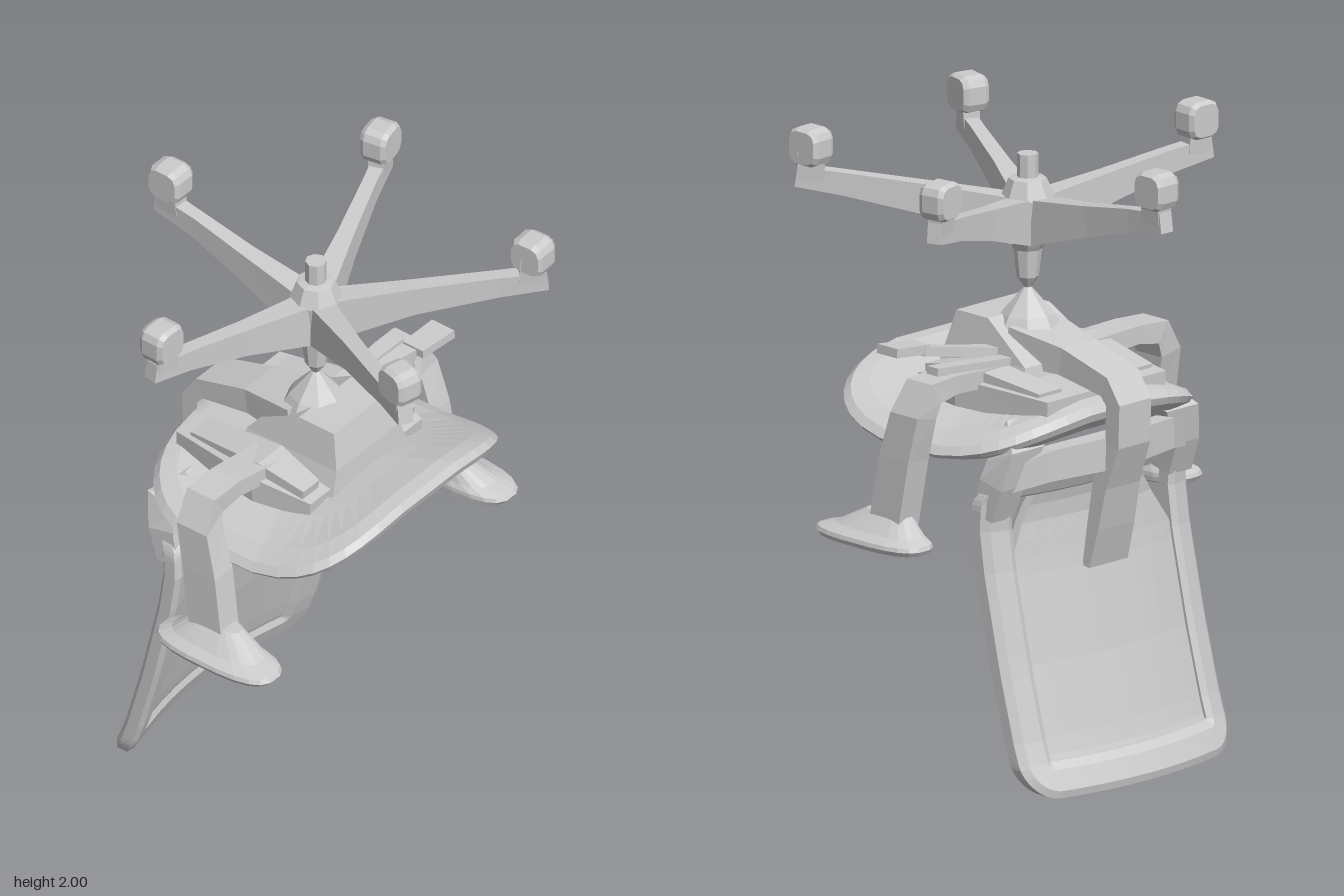
import * as THREE from 'three';

const V = (x, y, z) => new THREE.Vector3(x, y, z);

// Skin a list of equal-length rings (counter-clockwise about the direction of travel)
function loft(rings, closed = false) {
  const pos = [];
  const tri = (...p) => p.forEach(v => pos.push(v.x, v.y, v.z));
  const n = rings[0].length;
  for (let i = 0; i < rings.length - (closed ? 0 : 1); i++) {
    const a = rings[i], b = rings[(i + 1) % rings.length];
    for (let j = 0; j < n; j++) {
      const k = (j + 1) % n;
      tri(a[j], a[k], b[k]);
      tri(a[j], b[k], b[j]);
    }
  }
  if (!closed) {
    const a = rings[0], b = rings[rings.length - 1];
    for (let j = 1; j < n - 1; j++) {
      tri(a[0], a[j + 1], a[j]);
      tri(b[0], b[j], b[j + 1]);
    }
  }
  const g = new THREE.BufferGeometry();
  g.setAttribute('position', new THREE.Float32BufferAttribute(pos, 3));
  g.computeVertexNormals();
  return g;
}

// Rectangular bar through stations [x, y, z, width along side, height]
function strut(stations, side) {
  const p = stations.map(s => V(s[0], s[1], s[2]));
  return loft(p.map((c, i) => {
    const t = p[Math.min(i + 1, p.length - 1)].clone().sub(p[Math.max(i - 1, 0)]);
    const nrm = t.cross(side).normalize();
    const [, , , w, h] = stations[i];
    return [[1, -1], [1, 1], [-1, 1], [-1, -1]].map(([a, b]) =>
      c.clone().addScaledVector(side, a * w / 2).addScaledVector(nrm, b * h / 2));
  }));
}

// Superellipse points, counter-clockwise about +y
function oval(n, rx, rz, e) {
  const f = v => Math.sign(v) * Math.abs(v) ** (2 / e);
  return Array.from({ length: n }, (_, i) => {
    const a = (i + 0.5) / n * Math.PI * 2;
    return [rx * f(Math.sin(a)), rz * f(Math.cos(a))];
  });
}

function table(rows, y) {
  let i = 0;
  while (i < rows.length - 2 && y > rows[i + 1][0]) i++;
  const [a, b] = [rows[i], rows[i + 1]];
  return a[1] + (b[1] - a[1]) * (y - a[0]) / (b[0] - a[0]);
}

// Backrest curvature: leaning profile plus wrap at the sides
const lean = [[0, -0.52], [0.14, -0.46], [0.4, -0.388], [0.7, -0.32], [0.85, -0.298], [0.93, -0.305], [1, -0.34]];
const bend = (x, y, d) => V(x, y, table(lean, y) + 0.075 * (x / 0.45) ** 2 + d);

export function createModel() {
  const root = new THREE.Group();
  const mat = new THREE.MeshStandardMaterial({ color: 0xcccccc, flatShading: true });
  const add = (name, geo, parent = root) => {
    const m = new THREE.Mesh(geo, mat);
    m.name = name;
    parent.add(m);
    return m;
  };
  const X = V(1, 0, 0), Y = V(0, 1, 0), Z = V(0, 0, 1);

  // Seat cushion: dished pad with rolled front and drooping sides
  const seatRings = [[0.02, -1], [0.35, -1], [0.7, -0.95], [0.9, -0.75], [0.98, -0.3], [1, 0.1], [0.96, 0.6], [0.85, 0.9], [0.6, 1], [0.3, 1], [0.02, 1]];
  add('seat', loft(seatRings.map(([s, t]) => oval(36, 0.508 * s, 0.44 * s, 3.8).map(([x, z0]) => {
    const z = z0 + 0.025;
    x *= z < 0 ? 1 - 0.7 * z * z : 1;
    const q = x / 0.5;
    const y = 1.14 + (z > 0 ? 0.1 * (z / 0.46) ** 2 : 0.045 * (z / 0.42) ** 2) - 0.078 * q * q;
    return V(x, y + t * (0.06 - 0.022 * q * q), z);
  }))));

  // Seat underside: shell plate, side rails, tilt housing
  add('seatPlate', strut([[0, 1.2, 0.2, 0.56, 0.06], [0, 1.215, 0, 0.64, 0.09], [0, 1.2, -0.35, 0.52, 0.08]], X));
  for (const s of [-1, 1])
    add('seatRail', strut([[s * 0.24, 1.235, 0.17, 0.08, 0.06], [s * 0.23, 1.255, 0, 0.12, 0.09], [s * 0.2, 1.225, -0.3, 0.1, 0.06]], X));
  const housing = [[1.2, 0.19, -0.17, 0.22], [1.29, 0.16, -0.15, 0.21], [1.41, 0.135, 0.04, 0.18]];
  add('tiltHousing', loft(housing.map(([y, w, z0, z1]) => [V(w, y, z1), V(w, y, z0), V(-w, y, z0), V(-w, y, z1)])));

  // Backrest frame: rounded rectangular ring
  const path = new THREE.Shape();
  const [hw, y0, y1, r] = [0.395, 0.055, 0.955, 0.055];
  path.moveTo(hw, y0 + r);
  for (let i = 1; i <= 12; i++) path.lineTo(hw, y0 + r + (y1 - y0 - 2 * r) * i / 12);
  path.absarc(hw - r, y1 - r, r, 0, Math.PI / 2);
  for (let i = 1; i <= 8; i++) path.lineTo(hw - r - 2 * (hw - r) * i / 8, y1);
  path.absarc(r - hw, y1 - r, r, Math.PI / 2, Math.PI);
  for (let i = 1; i <= 12; i++) path.lineTo(-hw, y1 - r - (y1 - y0 - 2 * r) * i / 12);
  path.absarc(r - hw, y0 + r, r, Math.PI, Math.PI * 1.5);
  for (let i = 1; i <= 8; i++) path.lineTo(r - hw + 2 * (hw - r) * i / 8, y0);
  path.absarc(hw - r, y0 + r, r, Math.PI * 1.5, Math.PI * 2);
  const pts = path.getPoints(5).filter((p, i, a) => p.distanceTo(a[(i + 1) % a.length]) > 1e-4);
  add('backFrame', loft(pts.map((p, i) => {
    const t = pts[(i + 1) % pts.length].clone().sub(pts[(i - 1 + pts.length) % pts.length]).normalize();
    const slim = p.y > 0.9 ? 0.025 : 0.055;
    return oval(8, 1, 0.037, 3.2).map(([o, d]) => {
      const w = o > 0 ? o * 0.06 : o * slim;
      return bend(p.x + t.y * w, p.y - t.x * w, d);
    });
  }), true));

  // Backrest panel: narrows near the top to leave the corner openings
  const panel = new THREE.BoxGeometry(0.72, 0.88, 0.03, 10, 16, 1);
  const pp = panel.attributes.position;
  for (let i = 0; i < pp.count; i++) {
    const y = pp.getY(i) + 0.51;
    const k = Math.max(0, (y - 0.7) / 0.25);
    const x = pp.getX(i) * (1 - k * (pp.getX(i) < 0 ? 0.5 : 0.3));
    const v = bend(x, y, pp.getZ(i) + 0.004);
    pp.setXYZ(i, v.x, v.y, v.z);
  }
  panel.computeVertexNormals();
  add('backPanel', panel);

  // Back support: central spine, yoke arms up to the seat and a bowed bridge
  add('backSpine', strut([[0, 1.33, -0.02, 0.22, 0.12], [0, 1.31, -0.22, 0.15, 0.09], [0, 1.265, -0.41, 0.14, 0.07], [0, 1.21, -0.45, 0.14, 0.06],
    [0, 1.08, -0.445, 0.14, 0.06], [0, 0.94, -0.395, 0.15, 0.06], [0, 0.8, -0.37, 0.16, 0.05], [0, 0.67, -0.345, 0.17, 0.03]], X));
  for (const s of [-1, 1])
    add('backYoke', strut([[s * 0.39, 0.88, -0.245, 0.1, 0.08], [s * 0.385, 0.99, -0.275, 0.1, 0.1], [s * 0.34, 1.08, -0.29, 0.14, 0.12], [s * 0.25, 1.14, -0.22, 0.18, 0.1]], X));
  add('backBridge', strut([[-0.38, 1.0, -0.28, 0.08, 0.07], [-0.26, 1.04, -0.35, 0.1, 0.06], [0, 1.05, -0.4, 0.11, 0.07],
    [0.26, 1.04, -0.35, 0.1, 0.06], [0.38, 1.0, -0.28, 0.08, 0.07]], Y));

  // Armrests
  for (const s of [-1, 1]) {
    const arm = new THREE.Group();
    arm.name = s > 0 ? 'leftArmrest' : 'rightArmrest';
    root.add(arm);
    add('armBar', strut([[s * 0.2, 1.26, -0.02, 0.12, 0.06], [s * 0.4, 1.275, -0.04, 0.11, 0.06], [s * 0.5, 1.265, -0.045, 0.11, 0.08],
      [s * 0.538, 1.19, -0.035, 0.12, 0.085], [s * 0.545, 1.05, 0, 0.13, 0.09], [s * 0.555, 0.83, 0.035, 0.13, 0.09]], Z), arm);
    const rings = [[0.76, 0.8], [0.765, 0.95], [0.78, 1], [0.793, 0.97], [0.81, 0.75], [0.865, 0.38]];
    add('armPad', loft(rings.map(([y, f]) => oval(20, 0.092 * f, 0.228 * f, 2.8).map(([x, z]) =>
      V(s * (0.593 - 0.06 * (1 - f)) + x, y, 0.085 - 0.05 * (1 - f) + z)))), arm);
  }

  // Adjustment levers on the left
  add('lever', strut([[0.12, 1.3, 0.0, 0.06, 0.05], [0.3, 1.34, 0.03, 0.04, 0.03], [0.42, 1.36, 0.06, 0.06, 0.03]], Z));
  add('leverPaddle', strut([[0.4, 1.365, 0.07, 0.08, 0.03], [0.535, 1.375, 0.085, 0.09, 0.03]], Z));
  add('rearLever', strut([[0.14, 1.29, -0.06, 0.05, 0.04], [0.46, 1.32, -0.04, 0.05, 0.025]], Z));

  // Gas column: flared foot, pinched waist, cone and hub
  const column = [[0, 1.28], [0.15, 1.3], [0.085, 1.41], [0.012, 1.495], [0.035, 1.53], [0.045, 1.62], [0.07, 1.66], [0.085, 1.79], [0.06, 1.85], [0.034, 1.855], [0.034, 1.93], [0, 1.93]];
  add('column', new THREE.LatheGeometry(column.map(p => new THREE.Vector2(...p)), 8));

  // Five-spoke base; each tip is [x, z, caster heading]
  const tips = [[0.03, -0.605, Math.PI], [0.595, -0.215, 1.75], [-0.63, -0.115, -1.6], [-0.33, 0.6, -0.25], [0.445, 0.515, 0.05]];
  for (const [x, z, heading] of tips) {
    const spoke = new THREE.Group();
    spoke.name = 'spoke';
    root.add(spoke);
    const len = Math.hypot(x, z), d = V(x / len, 0, z / len), side = V(d.z, 0, -d.x);
    const at = (k, y, w, h) => [d.x * k, y, d.z * k, w, h];
    add('spokeArm', strut([at(0.03, 1.715, 0.085, 0.15), at(0.3, 1.775, 0.055, 0.1), at(len - 0.11, 1.82, 0.045, 0.075), at(len + 0.045, 1.842, 0.05, 0.065)], side), spoke);
    add('casterStem', strut([at(len - 0.005, 1.83, 0.05, 0.08), at(len, 1.93, 0.06, 0.08)], side), spoke);
    const rings = [[-0.046, 0.85], [-0.03, 1], [0.03, 1], [0.046, 0.85]];
    const wheel = add('caster', loft(rings.map(([y, f]) => oval(12, 0.062 * f, 0.062 * f, 3.4).map(([a, b]) => V(a, y, b)))).rotateZ(-Math.PI / 2), spoke);
    wheel.position.set(x, 1.939, z);
    wheel.rotation.y = heading;
  }
  return root;
}
